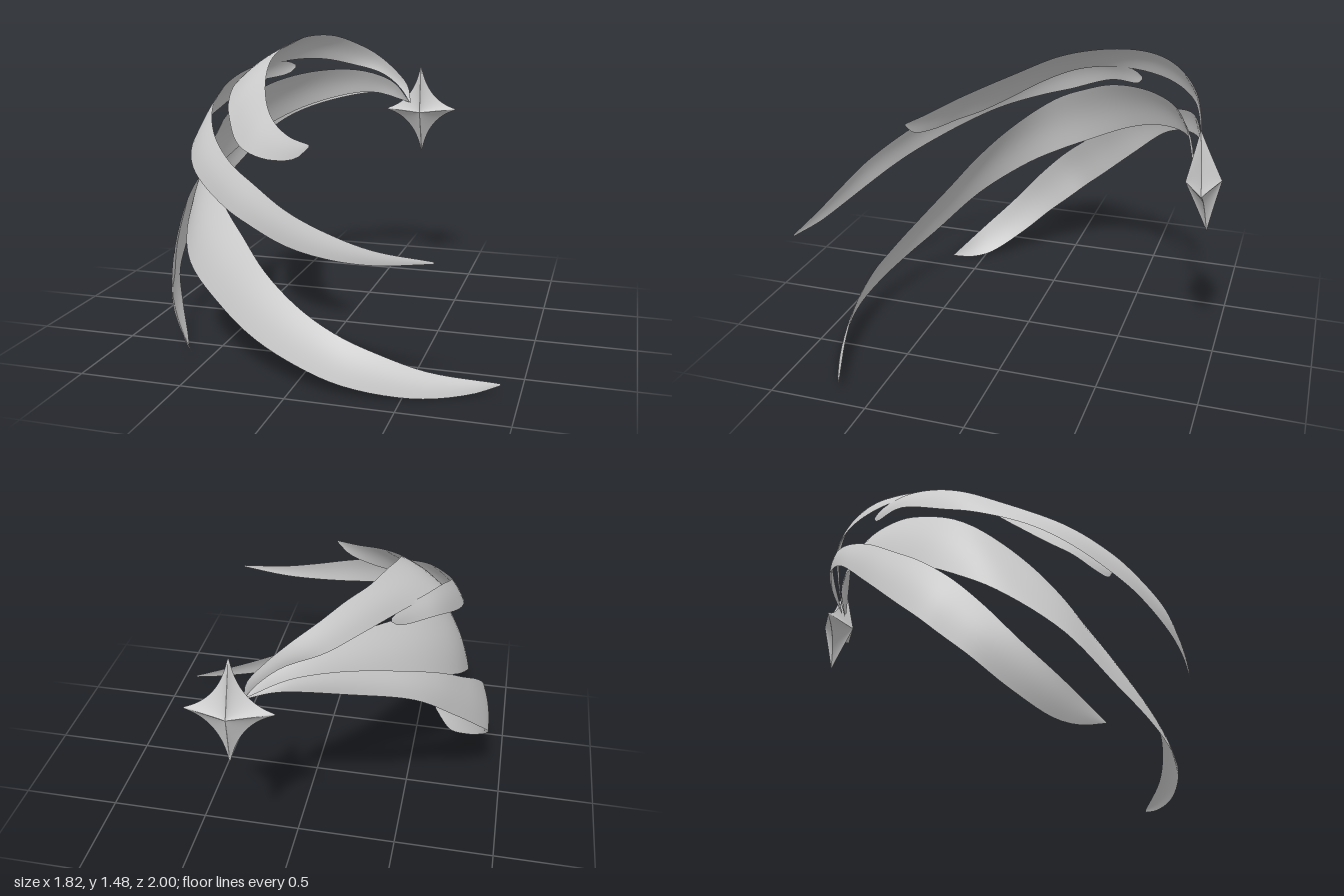
import * as THREE from 'three';
import { mergeVertices } from 'three/addons/utils/BufferGeometryUtils.js';

const curve = (pts) => new THREE.CatmullRomCurve3(pts.map((p) => new THREE.Vector3(...p)), false, 'centripetal');

// Surface stretched between an upper and a lower edge, bulging slightly outward
function ribbonGeometry(upper, lower, rows = 64, cols = 8, bulge = 0.05) {
  const up = curve(upper), low = curve(lower);
  const pos = [], index = [];
  for (let i = 0; i <= rows; i++) {
    const t = i / rows;
    const a = low.getPointAt(t), b = up.getPointAt(t);
    const across = b.clone().sub(a);
    const along = low.getTangentAt(t).add(up.getTangentAt(t));
    const out = along.cross(across).normalize().multiplyScalar(across.length() * bulge);
    for (let j = 0; j <= cols; j++) {
      const s = j / cols;
      const p = a.clone().addScaledVector(across, s).addScaledVector(out, Math.sin(Math.PI * s));
      pos.push(p.x, p.y, p.z);
      if (i < rows && j < cols) {
        const k = i * (cols + 1) + j, n = k + cols + 1;
        index.push(k, n, k + 1, n, n + 1, k + 1);
      }
    }
  }
  const g = new THREE.BufferGeometry();
  g.setAttribute('position', new THREE.Float32BufferAttribute(pos, 3));
  g.setIndex(index);
  g.computeVertexNormals();
  return g;
}

// Four-pointed star: a sphere pulled into concave arms with softened tips
function starGeometry(a, b, c) {
  let g = new THREE.SphereGeometry(1, 96, 40).rotateX(Math.PI / 2);
  g.deleteAttribute('uv');
  g.deleteAttribute('normal');
  const soft = (v) => (v * v + 0.0006) ** 0.275;
  const reach = (th) => (soft(Math.cos(th)) + soft(Math.sin(th))) ** (-1 / 0.55);
  const p = g.attributes.position;
  for (let i = 0; i < p.count; i++) {
    const x = p.getX(i), y = p.getY(i), z = p.getZ(i);
    const even = Math.atan2(y, x);
    const th = even - 0.2 * Math.sin(4 * even); // more columns along the arms
    const r = reach(th) / reach(0) * Math.hypot(x, y) ** 2;
    p.setXYZ(i, a * r * Math.cos(th), b * r * Math.sin(th), c * Math.sign(z) * Math.abs(z) ** 2.1);
  }
  g = mergeVertices(g, 1e-5);
  g.computeVertexNormals();
  return g;
}

// Edges of each trail, from the star end to the tip
const trails = {
  topTrail: {
    upper: [[0.15, 1.07, -0.86], [0.13, 1.16, -0.88], [0.06, 1.25, -0.87], [-0.05, 1.35, -0.83], [-0.16, 1.42, -0.75],
      [-0.25, 1.465, -0.64], [-0.33, 1.475, -0.5], [-0.38, 1.455, -0.3], [-0.41, 1.39, -0.05], [-0.36, 1.28, 0.2],
      [-0.23, 1.16, 0.47], [-0.1, 1.1, 0.6], [0.02, 1.08, 0.67]],
    lower: [[0.15, 1.06, -0.86], [0.08, 1.155, -0.87], [-0.02, 1.235, -0.85], [-0.19, 1.29, -0.79], [-0.33, 1.33, -0.66],
      [-0.47, 1.335, -0.45], [-0.58, 1.3, -0.22], [-0.62, 1.25, -0.05], [-0.59, 1.17, 0.13], [-0.53, 1.1, 0.26],
      [-0.44, 1.03, 0.41], [-0.34, 1.0, 0.52], [-0.2, 0.985, 0.6], [-0.05, 1.01, 0.655], [0.02, 1.07, 0.67]],
  },
  shortTrail: {
    upper: [[-0.43, 1.31, -0.485], [-0.46, 1.333, -0.44], [-0.56, 1.33, -0.27], [-0.62, 1.295, -0.1], [-0.65, 1.24, 0.05],
      [-0.64, 1.175, 0.2], [-0.5, 1.07, 0.52], [-0.34, 0.98, 0.71], [-0.2, 0.92, 0.81], [0, 0.83, 0.92],
      [0.2, 0.76, 0.97], [0.4, 0.71, 0.995], [0.66, 0.685, 1]],
    lower: [[-0.43, 1.295, -0.485], [-0.46, 1.265, -0.46], [-0.61, 1.225, -0.28], [-0.7, 1.12, -0.02], [-0.72, 1.07, 0.13],
      [-0.69, 0.985, 0.37], [-0.6, 0.905, 0.55], [-0.36, 0.795, 0.77], [-0.2, 0.74, 0.86], [0, 0.68, 0.94],
      [0.2, 0.65, 0.98], [0.4, 0.645, 0.995], [0.66, 0.675, 1]],
  },
  wideTrail: {
    upper: [[0.14, 1.08, -0.85], [0.06, 1.19, -0.81], [-0.1, 1.26, -0.73], [-0.3, 1.275, -0.56], [-0.49, 1.235, -0.32],
      [-0.6, 1.16, -0.14], [-0.65, 1.09, 0.01], [-0.655, 1.0, 0.15], [-0.58, 0.85, 0.34], [-0.47, 0.71, 0.48],
      [-0.35, 0.6, 0.57], [-0.2, 0.47, 0.68], [0, 0.345, 0.78], [0.2, 0.255, 0.835], [0.4, 0.18, 0.83],
      [0.6, 0.11, 0.79], [0.91, 0.045, 0.68]],
    lower: [[0.14, 1.07, -0.86], [-0.07, 1.13, -0.8], [-0.36, 1.08, -0.61], [-0.58, 0.97, -0.39], [-0.72, 0.83, -0.15],
      [-0.765, 0.73, 0.04], [-0.77, 0.62, 0.24], [-0.66, 0.44, 0.51], [-0.4, 0.27, 0.7], [-0.2, 0.18, 0.81],
      [0, 0.115, 0.88], [0.2, 0.06, 0.913], [0.4, 0.02, 0.89], [0.6, 0, 0.835], [0.8, 0.01, 0.745], [0.91, 0.035, 0.68]],
  },
  lowTrail: {
    upper: [[0.13, 1.08, -0.87], [-0.05, 1.18, -0.85], [-0.25, 1.2, -0.78], [-0.48, 1.13, -0.62], [-0.66, 1.01, -0.42],
      [-0.765, 0.88, -0.24], [-0.82, 0.79, -0.11], [-0.86, 0.66, 0.05], [-0.86, 0.51, 0.2], [-0.83, 0.33, 0.36],
      [-0.75, 0.17, 0.52], [-0.59, 0.025, 0.67]],
    lower: [[0.13, 1.07, -0.87], [0, 1.12, -0.87], [-0.3, 1.08, -0.77], [-0.56, 0.97, -0.6], [-0.74, 0.76, -0.39],
      [-0.86, 0.57, -0.2], [-0.91, 0.45, -0.07], [-0.905, 0.37, 0.02], [-0.885, 0.26, 0.15], [-0.81, 0.14, 0.29],
      [-0.7, 0.02, 0.47], [-0.65, 0, 0.57], [-0.59, 0.02, 0.67]],
  },
};

export function createModel() {
  const silver = new THREE.MeshStandardMaterial({ color: 0xcccccc, side: THREE.DoubleSide });
  silver.name = 'silver grey';
  const model = new THREE.Group();
  model.name = 'shootingStar';

  // Star, tipped slightly forward
  const star = new THREE.Mesh(starGeometry(0.203, 0.256, 0.085), silver);
  star.name = 'star';
  star.position.set(0.203, 1.024, -0.915);
  star.rotation.set(0.12, 0.08, 0);
  model.add(star);

  // Trails sweeping around from the star
  for (const [name, { upper, lower }] of Object.entries(trails)) {
    const trail = new THREE.Mesh(ribbonGeometry(upper, lower), silver);
    trail.name = name;
    model.add(trail);
  }
  return model;
}
